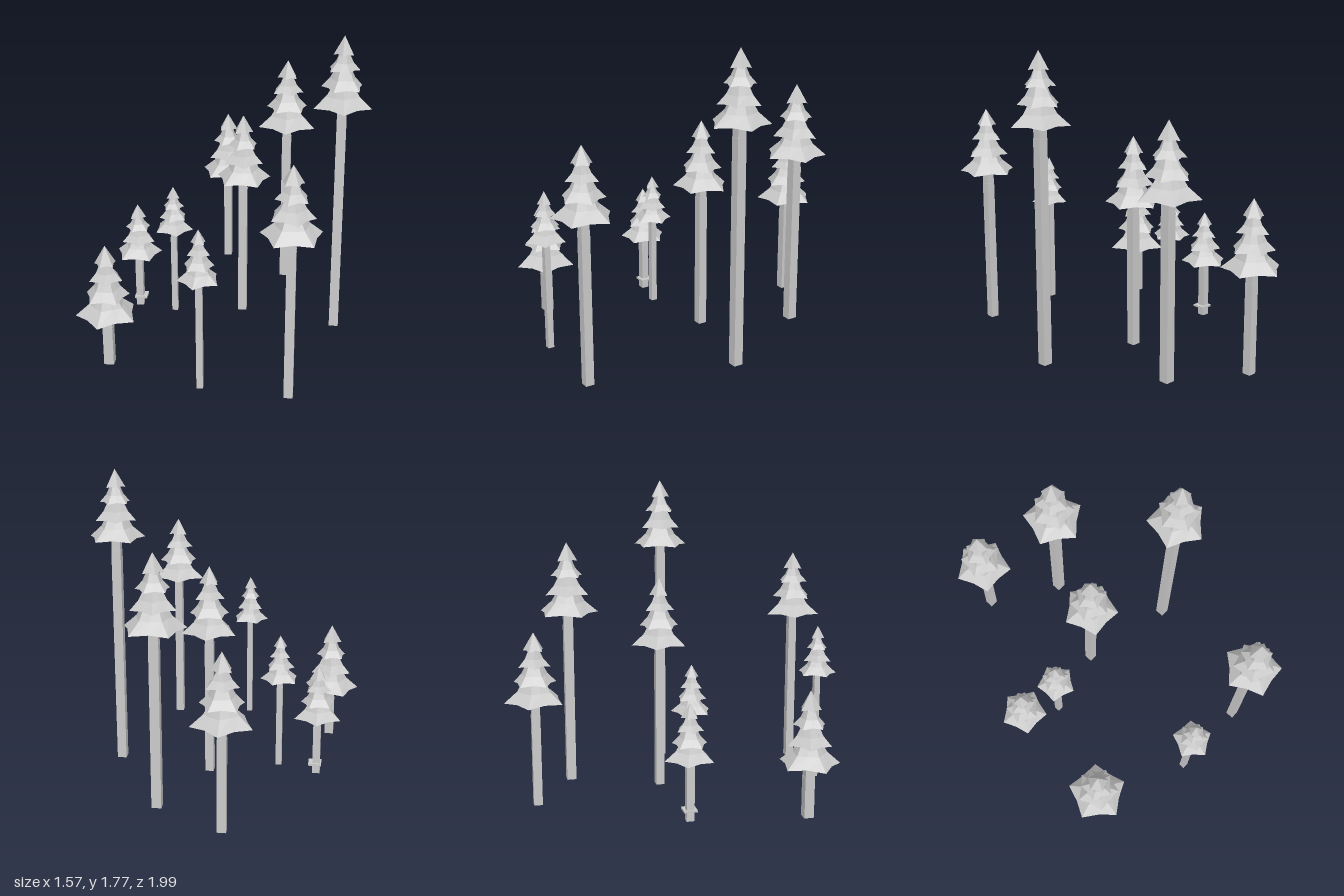
import * as THREE from 'three';

const grey = new THREE.MeshStandardMaterial({ color: 0xcccccc, flatShading: true });
grey.name = 'grey';

// Tree placement: x, z, trunk bottom, foliage bottom, top, foliage radius, trunk width, turn (degrees), trunk seam
const TREES = [
  [0.62, 0.055, 0.007, 1.37, 1.768, 0.168, 0.054, 86, 1.30],
  [0.287, -0.577, 0.005, 1.03, 1.445, 0.18, 0.055, 90, 0.955],
  [0.396, 0.853, 0.01, 0.943, 1.325, 0.168, 0.049, -25, 0.87],
  [0.063, -0.077, 0.01, 0.865, 1.253, 0.163, 0.05, -90, 0.80],
  [-0.106, -0.823, 0.01, 0.613, 1.007, 0.172, 0.049, -90, 0.537],
  [-0.618, 0.607, 0, 0.305, 0.722, 0.175, 0.055, 97, 0.235],
  [-0.564, -0.052, 0.02, 0.365, 0.682, 0.14, 0.044, -90, 0.31],
  [-0.338, 0.014, 0.03, 0.565, 0.832, 0.115, 0.035, 0, 0.515],
  [-0.076, 0.848, 0.03, 0.67, 0.955, 0.115, 0.035, 99, 0.62],
];

// Foliage tiers from bottom to top: rings of [height, radius], as fractions of the foliage
const TIERS = [
  [[0, 1], [0.16, 0.57], [0.36, 0.30]],
  [[0.27, 0.72], [0.40, 0.44], [0.58, 0.22]],
  [[0.52, 0.54], [0.63, 0.31], [0.78, 0.15]],
  [[0.74, 0.35], [1, 0]],
];

// One five-pointed skirt: star-shaped rim rising into a narrow top, closed underneath
function skirt(rings, height, radius, turn) {
  const n = 10, out = [];
  const point = (k, i) => {
    const [y, r] = rings[k];
    const notch = i % 2 === 1;
    const a = turn + (i * Math.PI * 2) / n;
    const s = r * radius * (notch ? (k === 0 ? 0.76 : 0.84) : 1);
    const lift = notch && k === 0 ? 0.02 : 0;
    return [Math.cos(a) * s, (y + lift) * height, Math.sin(a) * s];
  };
  const under = [0, (rings[0][0] + 0.04) * height, 0];
  for (let i = 0; i < n; i++) {
    for (let k = 0; k + 1 < rings.length; k++) {
      const a = point(k, i), b = point(k, i + 1);
      const c = point(k + 1, i), d = point(k + 1, i + 1);
      out.push(...a, ...c, ...b);
      if (rings[k + 1][1] > 0) out.push(...b, ...c, ...d);
    }
    out.push(...point(0, i), ...point(0, i + 1), ...under);
  }
  const g = new THREE.BufferGeometry();
  g.setAttribute('position', new THREE.Float32BufferAttribute(out, 3));
  g.computeVertexNormals();
  return g;
}

function add(group, geometry, name, y) {
  const mesh = new THREE.Mesh(geometry, grey);
  mesh.name = name;
  mesh.position.y = y;
  group.add(mesh);
  return mesh;
}

// A square post between two heights
function post(group, name, width, y0, y1) {
  return add(group, new THREE.BoxGeometry(width, y1 - y0, width), name, (y0 + y1) / 2);
}

function makeTree([x, z, base, low, top, radius, width, turn, seam]) {
  const tree = new THREE.Group();
  tree.name = 'pineTree';
  tree.position.set(x, 0, z);
  const height = top - low;
  post(tree, 'trunk', width, base, seam);
  post(tree, 'upperTrunk', width * 0.95, seam, low + height * 0.25);
  TIERS.forEach((rings, i) => {
    const angle = THREE.MathUtils.degToRad(turn + i * 28);
    add(tree, skirt(rings, height, radius, angle), 'foliageTier', low);
  });
  return tree;
}

export function createModel() {
  const model = new THREE.Group();
  model.name = 'pineGrove';
  const trees = TREES.map(makeTree);
  model.add(...trees);
  // Thin collar near the foot of one small tree
  const collar = add(trees[6], new THREE.BoxGeometry(0.075, 0.012, 0.075), 'trunkCollar', 0.078);
  collar.position.x = 0.008;
  return model;
}
